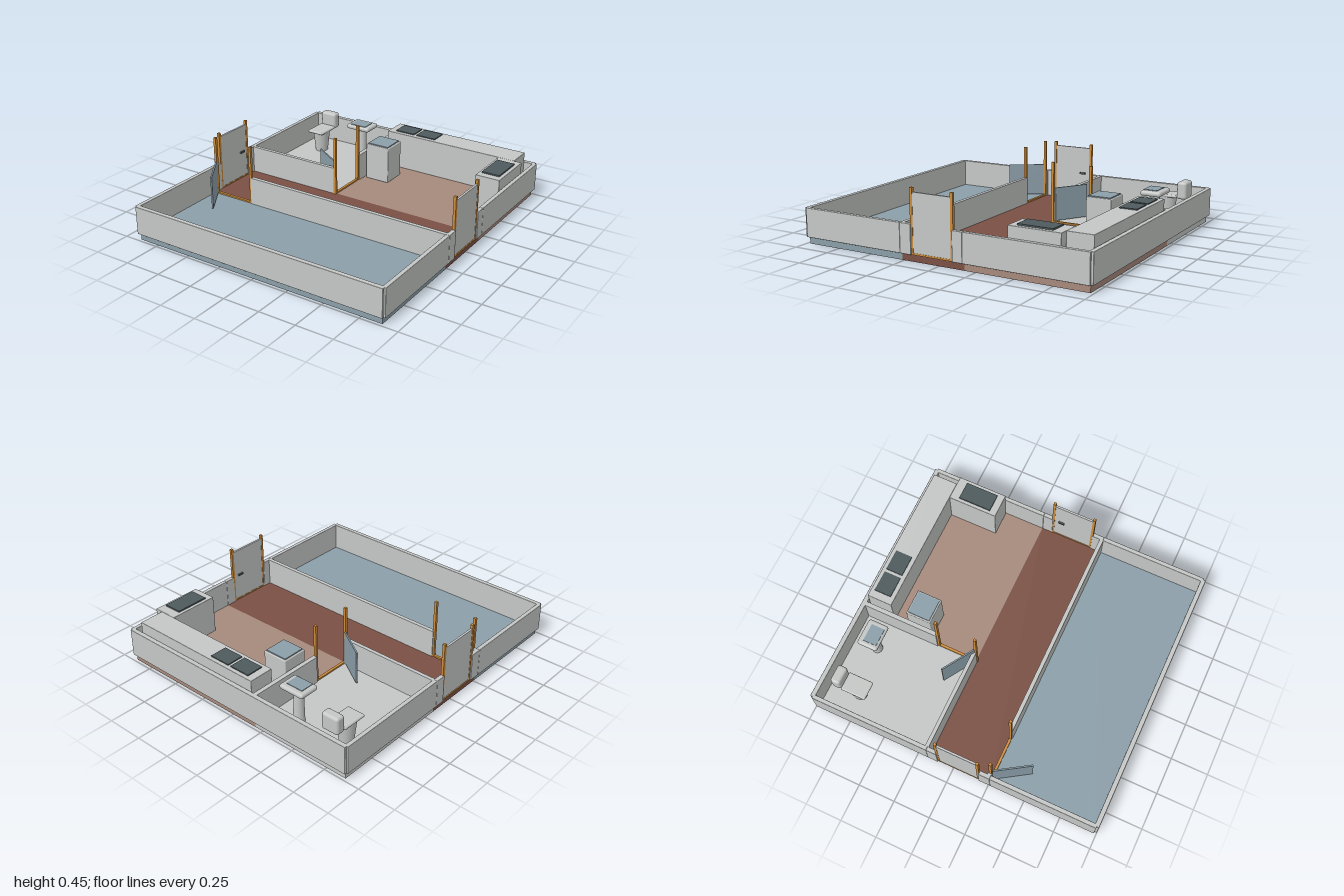
import * as THREE from 'three';
import { RoundedBoxGeometry } from 'three/addons/geometries/RoundedBoxGeometry.js';

const mat = (name, color) => new THREE.MeshStandardMaterial({ name, color });

export function createModel() {
  const model = new THREE.Group();
  model.name = 'floorPlan';
  const grey = mat('lightGrey', 0xc4c7c5);
  const blue = mat('slateBlue', 0x8b9ea8);
  const tan = mat('paleBrown', 0xa6897c);
  const brown = mat('darkBrown', 0x7a5044);
  const orange = mat('orangeWood', 0xcb8b3c);
  const dark = mat('charcoal', 0x4e5a5d);

  const add = (parent, name, geometry, material, x, y, z) => {
    const mesh = new THREE.Mesh(geometry, material);
    mesh.name = name;
    mesh.position.set(x, y, z);
    parent.add(mesh);
    return mesh;
  };
  // Box from its limits on each axis; r rounds its edges
  const box = (name, material, [x0, x1], [y0, y1], [z0, z1], r = 0, parent = model) => {
    const size = [x1 - x0, y1 - y0, z1 - z0];
    const geometry = r ? new RoundedBoxGeometry(...size, 3, r) : new THREE.BoxGeometry(...size);
    return add(parent, name, geometry, material, (x0 + x1) / 2, (y0 + y1) / 2, (z0 + z1) / 2);
  };

  // Room floors
  const slab = [0, 0.048];
  box('bedroomFloor', blue, [-0.89, 0.89], slab, [0.262, 0.98]);
  box('hallFloor', brown, [-0.89, 0.89], slab, [-0.175, 0.262]);
  box('kitchenFloor', tan, [-0.19, 0.89], slab, [-0.98, -0.175]);
  box('bathroomFloor', grey, [-0.89, -0.19], slab, [-0.98, -0.175]);

  // Outer walls
  const wall = [0.046, 0.235];
  box('frontWall', grey, [-0.9, 0.9], wall, [0.969, 1], 0.003);
  box('backWall', grey, [-0.9, 0.9], wall, [-1, -0.969], 0.003);
  for (const s of [-1, 1]) {
    const x = s < 0 ? [-0.911, -0.883] : [0.883, 0.911];
    box('bedroomSideWall', grey, x, wall, [0.265, 0.985], 0.003);
    box('hallSideWallFront', grey, x, wall, [0.187, 0.265], 0.003);
    box('hallSideWallBack', grey, x, wall, [-0.173, -0.103], 0.003);
    box('rearSideWall', grey, x, wall, [-0.985, -0.173], 0.003);
  }

  // Inner walls
  box('bedroomWall', grey, [-0.57, 0.885], wall, [0.242, 0.268]);
  box('bedroomWallStub', grey, [-0.885, -0.868], wall, [0.242, 0.268]);
  box('bathroomHallWall', grey, [-0.885, -0.198], wall, [-0.19, -0.165]);
  box('bathroomKitchenWall', grey, [-0.205, -0.176], wall, [-0.97, -0.452]);

  // Door frames: two posts joined by a sill
  const frame = (name, [ax, az], [bx, bz]) => {
    const group = new THREE.Group();
    group.name = name;
    model.add(group);
    const h = 0.009;
    for (const [x, z] of [[ax, az], [bx, bz]]) {
      box('post', orange, [x - h, x + h], [0.048, 0.453], [z - h, z + h], 0, group);
    }
    box('sill', orange, [Math.min(ax, bx) - h, Math.max(ax, bx) + h], [0.046, 0.058],
      [Math.min(az, bz) - h, Math.max(az, bz) + h], 0, group);
  };
  frame('bedroomDoorFrame', [-0.865, 0.256], [-0.573, 0.256]);
  frame('bathroomDoorFrame', [-0.19, -0.17], [-0.19, -0.445]);
  for (const s of [-1, 1]) {
    frame('entranceFrame', [s * 0.895, 0.183], [s * 0.895, -0.1]);
    // Closed entrance door with a handle on the inside
    const door = new THREE.Group();
    door.name = 'entranceDoor';
    model.add(door);
    add(door, 'leaf', new THREE.BoxGeometry(0.014, 0.368, 0.266), grey, s * 0.895, 0.242, 0.0415);
    add(door, 'handle', new THREE.BoxGeometry(0.012, 0.012, 0.04), dark, s * 0.881, 0.24, -0.04);
  }

  // Inner doors standing ajar, from hinge to free edge
  const openDoor = (name, [ax, az], [bx, bz]) => {
    const length = Math.hypot(bx - ax, bz - az);
    const leaf = add(model, name, new THREE.BoxGeometry(length, 0.222, 0.01), blue,
      (ax + bx) / 2, 0.169, (az + bz) / 2);
    leaf.rotation.y = -Math.atan2(bz - az, bx - ax);
  };
  openDoor('bedroomDoor', [-0.862, 0.265], [-0.725, 0.48]);
  openDoor('bathroomDoor', [-0.195, -0.178], [-0.404, -0.31]);

  // Toilet
  const toilet = new THREE.Group();
  toilet.name = 'toilet';
  model.add(toilet);
  const bowl = add(toilet, 'bowl', new THREE.CylinderGeometry(0.06, 0.043, 0.155, 24), grey, -0.712, 0.123, -0.765);
  bowl.scale.z = 1.1;
  box('seat', grey, [-0.776, -0.65], [0.195, 0.215], [-0.853, -0.68], 0.009, toilet);
  box('tank', grey, [-0.774, -0.652], [0.19, 0.307], [-0.916, -0.85], 0.018, toilet);

  // Washbasin
  const basin = new THREE.Group();
  basin.name = 'washbasin';
  model.add(basin);
  add(basin, 'pedestal', new THREE.CylinderGeometry(0.03, 0.036, 0.235, 24), grey, -0.385, 0.163, -0.81);
  box('rim', grey, [-0.475, -0.293], [0.273, 0.307], [-0.88, -0.74], 0.016, basin);
  box('water', blue, [-0.446, -0.325], [0.303, 0.311], [-0.846, -0.754], 0, basin);

  // Kitchen counters with dark tops set in
  const counter = [0.047, 0.306], inset = [0.304, 0.313];
  box('backCounter', grey, [-0.156, 0.825], counter, [-0.966, -0.795], 0.003);
  box('sideCounter', grey, [0.71, 0.88], counter, [-0.795, -0.455], 0.003);
  box('hobLeft', dark, [0.061, 0.206], inset, [-0.94, -0.824]);
  box('hobRight', dark, [-0.105, 0.04], inset, [-0.94, -0.824]);
  box('sideHob', dark, [0.732, 0.856], [0.304, 0.316], [-0.732, -0.504]);

  // Freestanding cabinet
  box('cabinet', grey, [-0.16, 0.016], [0.047, 0.302], [-0.684, -0.512], 0.006);
  box('cabinetTop', blue, [-0.15, 0.005], [0.3, 0.309], [-0.674, -0.522]);

  return model;
}
